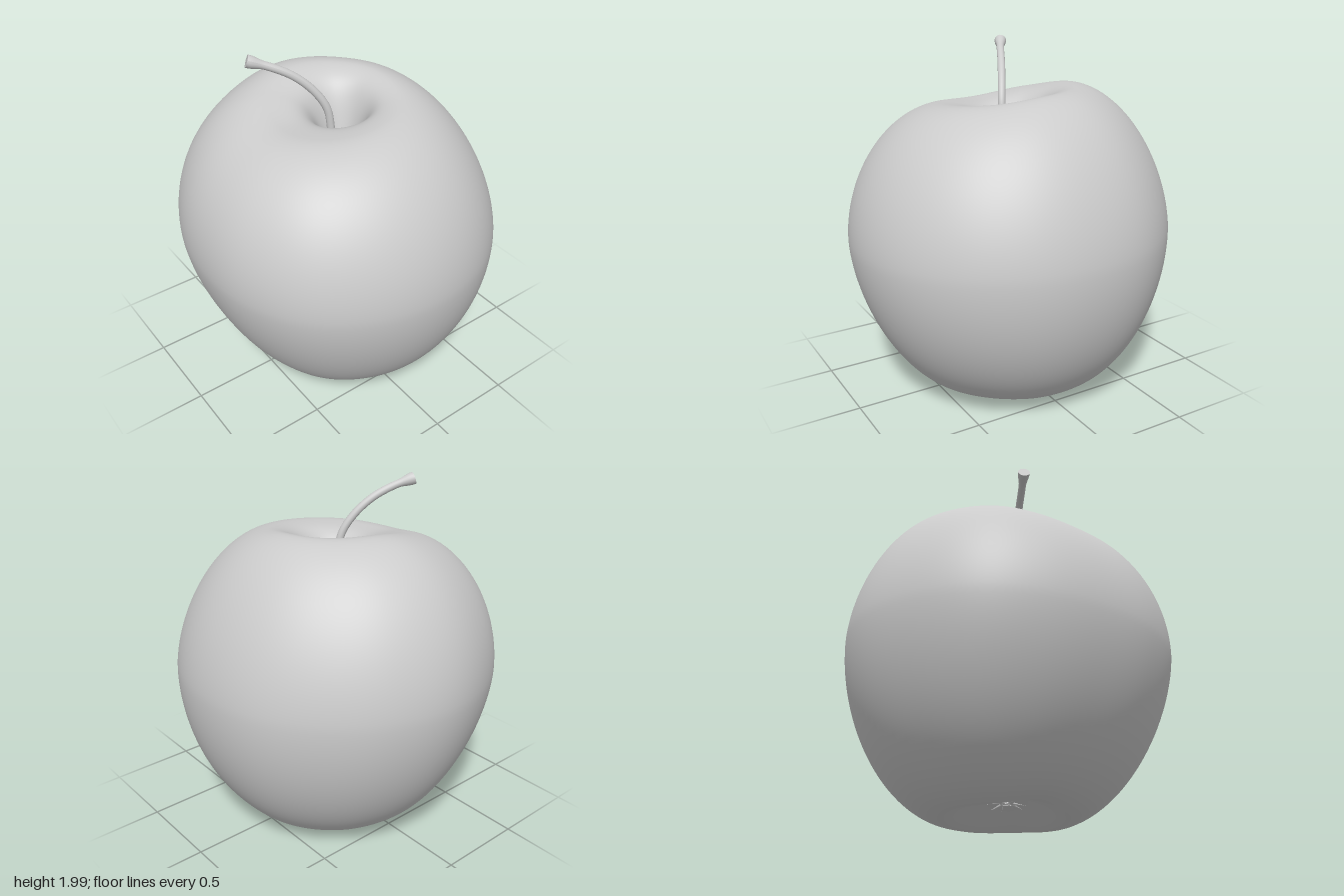
import * as THREE from 'three';

const material = new THREE.MeshStandardMaterial({ color: 0xcccccc });

// Smooth periodic interpolation of values spaced evenly round the vertical axis (from +x towards +z)
function around(values) {
  const n = values.length;
  return (turn) => {
    const s = turn * n, i = Math.floor(s), f = s - i;
    const [a, b, c, d] = [-1, 0, 1, 2].map((k) => values[(i + k + n) % n]);
    return b + 0.5 * f * (c - a + f * (2 * a - 5 * b + 4 * c - d + f * (3 * (b - c) + d - a)));
  };
}

const girth = around([
  0.95, 0.95, 0.948, 0.92, 0.893, 0.903, 0.928, 0.935,
  0.952, 0.935, 0.912, 0.908, 0.9, 0.912, 0.93, 0.945,
]);
const rimTop = around([1.68, 1.655, 1.645, 1.7, 1.755, 1.755, 1.745, 1.71]);
const rimBottom = around([0.005, 0.022, 0.05, 0.02, 0.018, 0.005, 0.008, 0.02]);

// Body half profile as [relative radius, relative height]: lower hollow, flank, upper hollow
const WAIST = 0.54, LOW_RIM = 0.37, TOP_RIM = 0.4;
const bowl = (r, rim) => (1 - (r / rim) ** 2) ** 2;

function bodyProfile() {
  const points = [], hollowSteps = 32, flankSteps = 32;
  for (let i = 0; i < hollowSteps; i++) {
    const r = Math.max(LOW_RIM * i / hollowSteps, 0.001);
    points.push([r, 0.055 * bowl(r, LOW_RIM)]);
  }
  for (let i = 0; i < flankSteps; i++) {
    const a = (i / flankSteps) * Math.PI / 2, p = 2 / 1.75;
    points.push([LOW_RIM + (1 - LOW_RIM) * Math.sin(a) ** p, WAIST * (1 - Math.cos(a) ** p)]);
  }
  for (let i = 0; i < flankSteps; i++) {
    const a = (i / flankSteps) * Math.PI / 2, p = 2 / 1.8;
    points.push([TOP_RIM + (1 - TOP_RIM) * Math.cos(a) ** p, WAIST + (1 - WAIST) * Math.sin(a) ** p]);
  }
  for (let i = hollowSteps; i >= 0; i--) {
    const r = Math.max(TOP_RIM * i / hollowSteps, 0.001);
    points.push([r, 1 - 0.03 * bowl(r, TOP_RIM) - 0.23 * Math.exp(-((r / 0.13) ** 2))]);
  }
  return points;
}

function bodyGeometry(cols = 128) {
  const profile = bodyProfile(), positions = [], index = [];
  profile.forEach(([rho, h], i) => {
    const fade = THREE.MathUtils.smoothstep(rho, 0, 0.4);
    const hollow = h > WAIST ? 1 - THREE.MathUtils.smoothstep(rho, 0.05, 0.5) : 0;
    for (let j = 0; j < cols; j++) {
      const turn = j / cols, angle = turn * Math.PI * 2;
      const low = THREE.MathUtils.lerp(0.02, rimBottom(turn), fade);
      const high = THREE.MathUtils.lerp(1.7, rimTop(turn), fade);
      const r = girth(turn) * rho;
      // the body leans slightly forward, and the upper hollow sits a little behind the axis
      positions.push(
        r * Math.cos(angle) + 0.015 * hollow,
        low + h * (high - low),
        r * Math.sin(angle) + 0.14 * (h - WAIST) * rho - 0.035 * hollow,
      );
      if (i < profile.length - 1) {
        const k = (j + 1) % cols, a = i * cols + j, b = a + cols, c = i * cols + k, d = c + cols;
        index.push(a, b, c, c, b, d);
      }
    }
  });
  const geometry = new THREE.BufferGeometry();
  geometry.setAttribute('position', new THREE.Float32BufferAttribute(positions, 3));
  geometry.setIndex(index);
  geometry.computeVertexNormals();
  return geometry;
}

// Bent stalk, widening at its free end and closed by a disc
function createStem() {
  const group = new THREE.Group();
  group.name = 'stem';
  const path = new THREE.CatmullRomCurve3([
    [0.03, 1.4, 0.045], [0.03, 1.55, 0.05], [0.02, 1.67, 0.07], [-0.015, 1.775, 0.13],
    [-0.065, 1.865, 0.22], [-0.12, 1.925, 0.325], [-0.18, 1.965, 0.43],
  ].map((p) => new THREE.Vector3(...p)));
  const rings = 48, sides = 20;
  const radius = (t) => 0.022 + 0.013 * THREE.MathUtils.smoothstep(t, 0.88, 0.99);
  const geometry = new THREE.TubeGeometry(path, rings, 1, sides);
  const pos = geometry.attributes.position, v = new THREE.Vector3();
  for (let i = 0; i < pos.count; i++) {
    const t = Math.floor(i / (sides + 1)) / rings, centre = path.getPointAt(t);
    v.fromBufferAttribute(pos, i).sub(centre).multiplyScalar(radius(t)).add(centre);
    pos.setXYZ(i, v.x, v.y, v.z);
  }
  geometry.computeVertexNormals();
  const stalk = new THREE.Mesh(geometry, material);
  stalk.name = 'stalk';
  const tip = new THREE.Mesh(new THREE.CircleGeometry(radius(1), sides), material);
  tip.name = 'stalkTip';
  tip.position.copy(path.getPointAt(1));
  tip.quaternion.setFromUnitVectors(new THREE.Vector3(0, 0, 1), path.getTangentAt(1));
  group.add(stalk, tip);
  return group;
}

// Ring of small dried sepals in the lower hollow
function createCalyx() {
  const group = new THREE.Group();
  group.name = 'calyx';
  group.position.y = 0.1;
  const ring = new THREE.Mesh(new THREE.TorusGeometry(0.032, 0.012, 8, 20), material);
  ring.name = 'calyxRing';
  ring.rotation.x = Math.PI / 2;
  group.add(ring);
  const sepal = new THREE.ConeGeometry(0.017, 0.085, 8);
  sepal.rotateX(Math.PI / 2);
  sepal.scale(1, 0.5, 1);
  sepal.translate(0, 0, 0.068);
  for (let i = 0; i < 9; i++) {
    const mesh = new THREE.Mesh(sepal, material);
    mesh.name = 'sepal';
    mesh.rotation.order = 'YXZ';
    mesh.rotation.set(0.1 + 0.1 * (i % 3), (i / 9) * Math.PI * 2 + 0.12 * (i % 2), 0);
    group.add(mesh);
  }
  return group;
}

export function createModel() {
  const model = new THREE.Group();
  model.name = 'apple';
  const body = new THREE.Mesh(bodyGeometry(), material);
  body.name = 'body';
  model.add(body, createStem(), createCalyx());
  return model;
}
